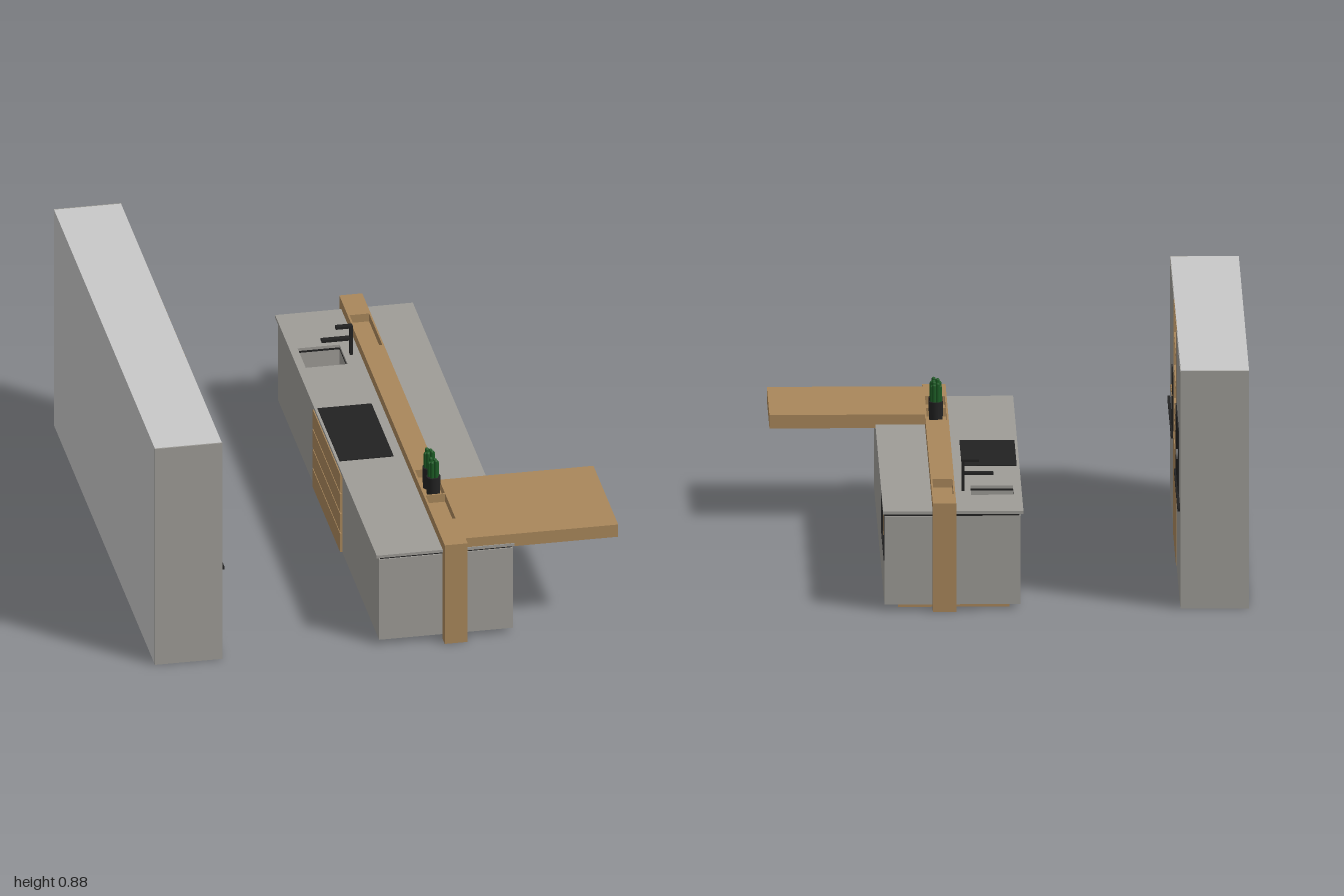
import * as THREE from 'three';

const material = (name, color) => {
  const m = new THREE.MeshStandardMaterial({ color });
  m.name = name;
  return m;
};

export function createModel() {
  const concrete = material('concrete', 0x9e9c97);
  const lightGrey = material('light grey', 0xc8c8c8);
  const wood = material('wood', 0xa9875b);
  const black = material('black', 0x222222);
  const green = material('green', 0x1c5a24);

  const model = new THREE.Group();
  model.name = 'kitchen';
  const group = (name) => {
    const g = new THREE.Group();
    g.name = name;
    model.add(g);
    return g;
  };
  const add = (parent, name, geometry, mat, x = 0, y = 0, z = 0) => {
    const mesh = new THREE.Mesh(geometry, mat);
    mesh.name = name;
    mesh.position.set(x, y, z);
    parent.add(mesh);
    return mesh;
  };
  // Box given by its limits on each axis
  const box = (parent, name, mat, [x0, x1], [y0, y1], [z0, z1]) =>
    add(parent, name, new THREE.BoxGeometry(x1 - x0, y1 - y0, z1 - z0), mat,
      (x0 + x1) / 2, (y0 + y1) / 2, (z0 + z1) / 2);
  // Horizontal slab with rectangular holes [x range, z range]
  const trace = (path, [x0, x1], [z0, z1]) => {
    path.moveTo(x0, z0).lineTo(x1, z0).lineTo(x1, z1).lineTo(x0, z1).closePath();
    return path;
  };
  const slab = (parent, name, mat, xr, [y0, y1], zr, holes) => {
    const shape = trace(new THREE.Shape(), xr, zr);
    for (const [hx, hz] of holes) shape.holes.push(trace(new THREE.Path(), hx, hz));
    const g = new THREE.ExtrudeGeometry(shape, { depth: y1 - y0, bevelEnabled: false });
    g.rotateX(Math.PI / 2);
    return add(parent, name, g, mat, 0, y1, 0);
  };

  // ---- Tall wall unit ----
  const wall = group('wallUnit');
  const N = 0.26; // half width of the wooden niche
  box(wall, 'backPanel', lightGrey, [-0.86, -0.83], [0, 0.885], [-0.955, 0.955]);
  box(wall, 'topPanel', lightGrey, [-0.86, -0.612], [0.88, 0.885], [-0.955, 0.955]);
  box(wall, 'basePanel', lightGrey, [-0.86, -0.612], [0, 0.005], [-0.955, 0.955]);
  for (const s of [-1, 1]) {
    const span = (a, b) => (s > 0 ? [a, b] : [-b, -a]);
    box(wall, 'cupboard', concrete, [-0.83, -0.61], [0.005, 0.88], span(N, 0.955));
    box(wall, 'endPanel', concrete, [-0.86, -0.61], [0, 0.8845], span(0.955, 0.96));
    box(wall, 'nicheSide', wood, [-0.83, -0.609], [0.385, 0.88], span(N - 0.008, N));
    for (let i = 0; i < 3; i++) {
      const a = 0.275 + i * 0.226;
      box(wall, 'handle', black, [-0.61, -0.6], [0.358, 0.37], span(a, a + 0.218));
    }
  }

  // Niche: lower front, back, shelves and bottle rack
  box(wall, 'nicheFront', wood, [-0.83, -0.608], [0.005, 0.387], [-N, N]);
  box(wall, 'nicheBack', wood, [-0.83, -0.822], [0.387, 0.88], [-N, N]);
  for (const y of [0.515, 0.638, 0.76, 0.88])
    box(wall, 'shelf', wood, [-0.822, -0.61], [y - 0.008, y], [-N + 0.008, N - 0.008]);
  box(wall, 'rackShelf', wood, [-0.822, -0.61], [0.447, 0.455], [-N + 0.008, N - 0.008]);
  for (let i = 1; i < 8; i++) {
    const z = -N + (i * 2 * N) / 8;
    box(wall, 'rackDivider', wood, [-0.822, -0.611], [0.387, 0.507], [z - 0.004, z + 0.004]);
  }

  // Dark appliance fronts
  box(wall, 'smallOvenFront', black, [-0.612, -0.606], [0.375, 0.588], [0.265, 0.492]);
  box(wall, 'largeOvenFront', black, [-0.612, -0.606], [0.375, 0.61], [-0.725, -0.265]);
  add(wall, 'dial', new THREE.CylinderGeometry(0.018, 0.018, 0.005, 24).rotateZ(Math.PI / 2),
    lightGrey, -0.605, 0.5, -0.62);
  box(wall, 'controlBar', wood, [-0.607, -0.604], [0.503, 0.508], [0.335, 0.455]);
  for (const z of [0.35, 0.39, 0.43])
    add(wall, 'controlKnob', new THREE.SphereGeometry(0.006, 10, 8), wood, -0.606, 0.52, z);

  // ---- Island ----
  const island = group('island');
  const sink = [[-0.01, 0.145], [-0.69, -0.535]];
  box(island, 'plinth', wood, [0.01, 0.415], [0, 0.025], [-0.91, 0.91]);
  box(island, 'lowerBody', concrete, [-0.03, 0.465], [0.02, 0.185], [-0.96, 0.96]);
  slab(island, 'upperBody', concrete, [-0.03, 0.27], [0.185, 0.348], [-0.96, 0.96], [sink]);
  box(island, 'upperBodyFront', concrete, [0.27, 0.465], [0.185, 0.348], [-0.49, 0.96]);
  box(island, 'upperBodyEnd', concrete, [0.27, 0.465], [0.185, 0.348], [-0.96, -0.952]);
  slab(island, 'shadowGap', black, [-0.025, 0.462], [0.348, 0.356], [-0.955, 0.955], [sink]);
  slab(island, 'worktop', concrete, [-0.04, 0.47], [0.356, 0.367], [-0.963, 0.963], [sink]);
  box(island, 'sinkFloor', concrete, sink[0], [0.26, 0.27], sink[1]);
  box(island, 'hob', black, [-0.03, 0.17], [0.366, 0.37], [-0.21, 0.21]);

  // Open niche with a black rim
  const nx = [0.27, 0.464];
  box(island, 'openNicheBack', wood, [0.27, 0.276], [0.185, 0.347], [-0.952, -0.49]);
  for (const [a, b] of [[0.185, 0.191], [0.34, 0.347]])
    box(island, 'openNicheBoard', wood, nx, [a, b], [-0.952, -0.49]);
  for (const z of [-0.952, -0.496])
    box(island, 'openNicheSide', wood, nx, [0.191, 0.34], [z, z + 0.006]);
  const rim = [0.462, 0.468];
  for (const y of [0.183, 0.339]) box(island, 'nicheRim', black, rim, [y, y + 0.009], [-0.956, -0.488]);
  for (const z of [-0.956, -0.497]) box(island, 'nicheRim', black, rim, [0.183, 0.348], [z, z + 0.009]);

  // Drawers on the cooking side
  box(island, 'drawerBacking', wood, [-0.032, -0.029], [0.022, 0.346], [-N, N]);
  for (let i = 0; i < 4; i++) {
    const y = 0.022 + i * 0.081;
    box(island, 'drawerFront', wood, [-0.038, -0.031], [y, y + 0.075], [-N, N]);
  }

  // Tap
  const tz = [-0.625, -0.603];
  box(island, 'tapPost', black, [0.167, 0.178], [0.367, 0.484], tz);
  box(island, 'tapTop', black, [0.115, 0.167], [0.475, 0.484], tz);
  box(island, 'tapSpout', black, [0.063, 0.167], [0.426, 0.436], tz);

  // ---- Wooden bridge and table ----
  const bridge = group('bridge');
  const bx = [0.205, 0.29];
  const tx = [0.212, 0.284];
  slab(bridge, 'beam', wood, bx, [0.367, 0.404], [-1, 1],
    [[-0.84, -0.59], [0.4, 0.597], [0.603, 0.8]].map((z) => [tx, z]));
  box(bridge, 'troughFloor', wood, tx, [0.365, 0.372], [-0.84, -0.59]);
  box(bridge, 'troughFloor', wood, tx, [0.365, 0.372], [0.4, 0.8]);
  for (const s of [-1, 1])
    box(bridge, 'leg', wood, bx, [0, 0.367], s > 0 ? [0.96, 1] : [-1, -0.96]);
  box(bridge, 'tableTop', wood, [0.29, 0.855], [0.354, 0.404], [0.49, 0.96]);

  // Potted plants: a cluster of upright stems
  for (const z of [0.478, 0.553]) {
    const plant = group('pottedPlant');
    plant.position.set(0.25, 0, z);
    add(plant, 'pot', new THREE.CylinderGeometry(0.026, 0.024, 0.083, 20), black, 0, 0.4135, 0);
    for (let i = 0; i < 7; i++) {
      const a = (i * Math.PI) / 3;
      const r = i < 6 ? 0.014 : 0;
      const h = 0.06 + 0.006 * ((i * 2) % 3);
      add(plant, 'stem', new THREE.CapsuleGeometry(0.0075, h - 0.006, 3, 8), green,
        r * Math.cos(a), 0.451 + h / 2, r * Math.sin(a));
    }
  }

  return model;
}
